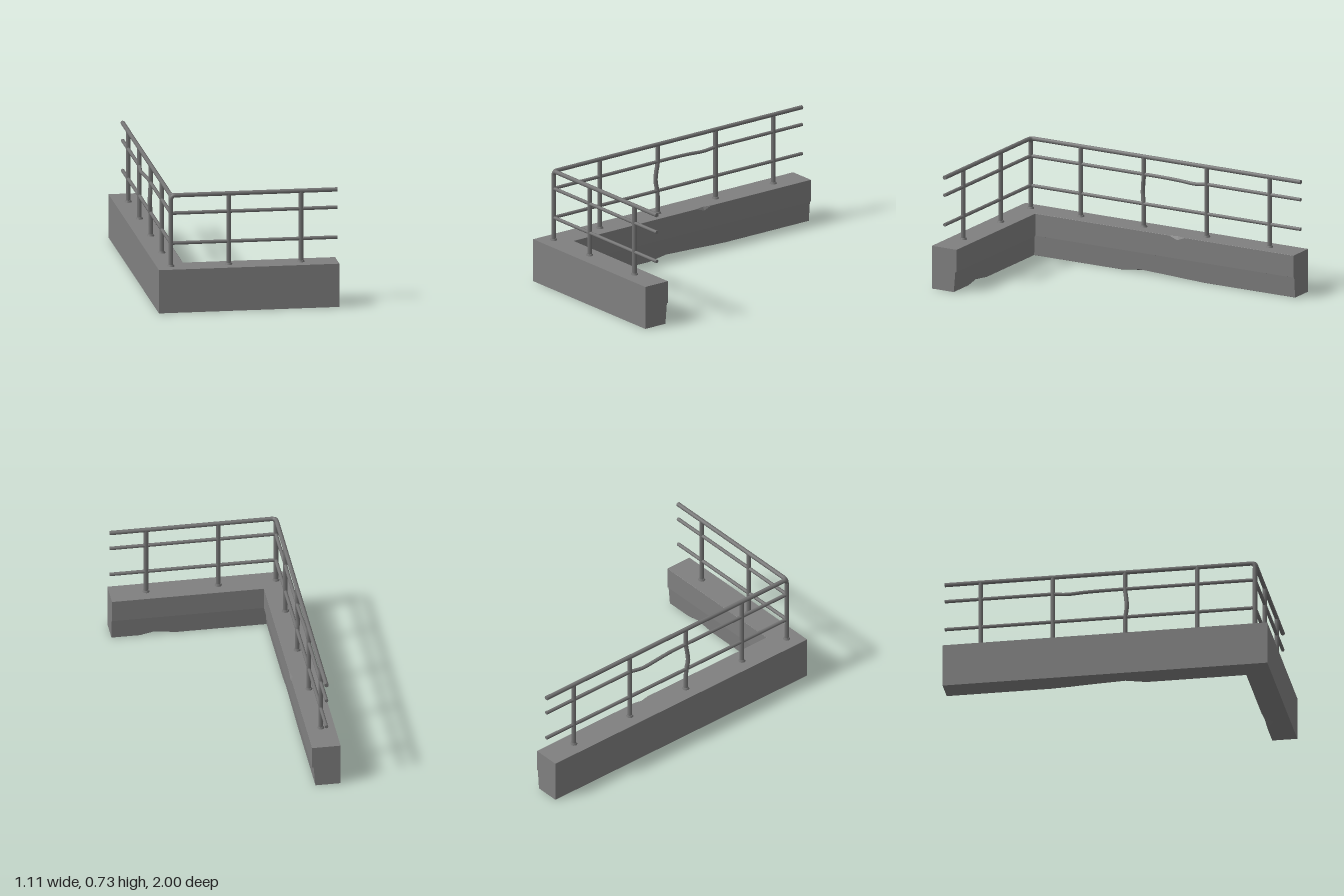
import * as THREE from 'three';

const concrete = new THREE.MeshStandardMaterial({ color: 0x808080, flatShading: true });
concrete.name = 'concrete grey';
const steel = new THREE.MeshStandardMaterial({ color: 0x747474 });
steel.name = 'steel grey';

const RX = -0.468, RZ = 0.91;          // railing lines of the two arms
const X0 = -0.555, X1 = 0.555, Z0 = -1, Z1 = 1;
const TOP = 0.27, W = 0.175;
const RAIL_Y = 0.713, MID_Y = 0.602, LOW_Y = 0.415;
const V = (x, y, z) => new THREE.Vector3(x, y, z);

// Cross-section (distance inward, height) with chips on the inner edges
function section(topIn, topDrop, botIn, botUp) {
  return [
    [0, 0], [0.155 - botIn, 0], [0.155 + botUp * 0.08, botUp],
    [0.166, 0.128], [W, 0.131], [W, TOP - topDrop], [W - topIn, TOP], [0, TOP],
  ];
}

// L-shaped wall swept along both arms with a mitred corner
function makeWall() {
  const e = 0.0008;
  const left = (z, a = e, b = e, c = e, d = e) =>
    section(a, b, c, d).map(([i, y]) => V(X0 + i, y, z));
  const corner = section(e, e, e, e).map(([i, y]) => V(X0 + i, y, Z1 - i));
  const front = (x, c = e, d = e) =>
    section(e, e, c, d).map(([i, y]) => V(x, y, Z1 - i));
  const rings = [
    left(Z0), left(-0.35), left(-0.23, e, e, 0.016, 0.005),
    left(-0.18, 0.012, 0.022, 0.022, 0.008), left(-0.12, e, e, 0.03, 0.011),
    left(0.1, e, e, 0.06, 0.02), left(0.23), corner,
    front(0.16), front(0.29, 0.05, 0.02), front(0.38), front(X1),
  ];
  const pos = [];
  const tri = (...pts) => pts.forEach((p) => pos.push(p.x, p.y, p.z));
  for (let s = 0; s < rings.length - 1; s++) {
    const A = rings[s], B = rings[s + 1], n = A.length;
    for (let i = 0; i < n; i++) {
      const j = (i + 1) % n;
      tri(A[i], A[j], B[i]);
      tri(A[j], B[j], B[i]);
    }
  }
  // End caps
  const flat = section(e, e, e, e).map(([x, y]) => new THREE.Vector2(x, y));
  const first = rings[0], last = rings[rings.length - 1];
  for (const [a, b, c] of THREE.ShapeUtils.triangulateShape(flat, [])) {
    tri(first[a], first[c], first[b]);
    tri(last[a], last[b], last[c]);
  }
  const g = new THREE.BufferGeometry();
  g.setAttribute('position', new THREE.Float32BufferAttribute(pos, 3));
  g.computeVertexNormals();
  return g;
}

export function createModel() {
  const model = new THREE.Group();
  model.name = 'wallWithRailing';

  const add = (geometry, name, material = steel) => {
    const mesh = new THREE.Mesh(geometry, material);
    mesh.name = name;
    model.add(mesh);
    return mesh;
  };
  // Straight capped bar between two points
  const bar = (a, b, r, name) => {
    const mesh = add(new THREE.CylinderGeometry(r, r, a.distanceTo(b), 8), name);
    mesh.position.copy(a).add(b).multiplyScalar(0.5);
    mesh.quaternion.setFromUnitVectors(V(0, 1, 0), b.clone().sub(a).normalize());
  };
  // Bent bar through several points
  const bent = (pts, r, name) =>
    add(new THREE.TubeGeometry(new THREE.CatmullRomCurve3(pts), 24, r, 8), name);
  // Quarter bend between two bars meeting at a corner point
  const elbow = (a, c, b, r, name) =>
    add(new THREE.TubeGeometry(new THREE.QuadraticBezierCurve3(a, c, b), 8, r, 8), name);

  add(makeWall(), 'wall', concrete);

  // Foot plates and posts
  const foot = (x, z) => {
    const mesh = add(new THREE.CylinderGeometry(0.018, 0.023, 0.012, 8), 'postFoot');
    mesh.position.set(x, TOP + 0.005, z);
  };
  const post = (x, z, top = RAIL_Y - 0.003) => {
    foot(x, z);
    bar(V(x, TOP - 0.005, z), V(x, top, z), 0.0142, 'post');
  };
  for (const x of [-0.112, 0.332]) post(x, RZ);
  for (const z of [0.555, -0.335, -0.78]) post(RX, z);

  // Damaged post
  foot(RX, 0.11);
  bent([
    V(RX, TOP - 0.005, 0.11), V(RX, 0.35, 0.11), V(RX - 0.001, 0.41, 0.112),
    V(RX - 0.007, 0.48, 0.121), V(RX - 0.005, 0.53, 0.118),
    V(RX, 0.595, 0.11), V(RX, 0.65, 0.11), V(RX, RAIL_Y - 0.003, 0.11),
  ], 0.0135, 'bentPost');

  // Top rail and corner post, joined by bends
  const k = 0.03, R = 0.0137;
  const c = V(RX, RAIL_Y, RZ);
  post(RX, RZ, RAIL_Y - k);
  bar(V(RX + k, RAIL_Y, RZ), V(X1, RAIL_Y, RZ), R, 'topRail');
  bar(V(RX, RAIL_Y, RZ - k), V(RX, RAIL_Y, Z0), R, 'topRail');
  elbow(V(RX, RAIL_Y - k, RZ), c, V(RX + k, RAIL_Y, RZ), R, 'cornerBend');
  elbow(V(RX, RAIL_Y - k, RZ), c, V(RX, RAIL_Y, RZ - k), R, 'cornerBend');
  elbow(V(RX, RAIL_Y, RZ - k), c, V(RX + k, RAIL_Y, RZ), R, 'cornerBend');

  // Lower rails
  const r = 0.0112;
  for (const y of [MID_Y, LOW_Y]) bar(V(RX, y, RZ), V(X1, y, RZ), r, 'lowerRail');
  bar(V(RX, LOW_Y, RZ), V(RX, LOW_Y, Z0), r, 'lowerRail');
  bar(V(RX, MID_Y, RZ), V(RX, MID_Y, 0.02), r, 'middleRail');
  bar(V(RX, MID_Y, -0.33), V(RX, MID_Y, Z0), r, 'middleRail');
  // Damaged stretch of the middle rail
  bent([
    V(RX, MID_Y, 0.025), V(RX - 0.001, MID_Y - 0.001, -0.03),
    V(RX - 0.006, MID_Y - 0.006, -0.14), V(RX - 0.007, MID_Y - 0.012, -0.24),
    V(RX - 0.003, MID_Y - 0.007, -0.29), V(RX, MID_Y, -0.335),
  ], r, 'bentMiddleRail');

  return model;
}
